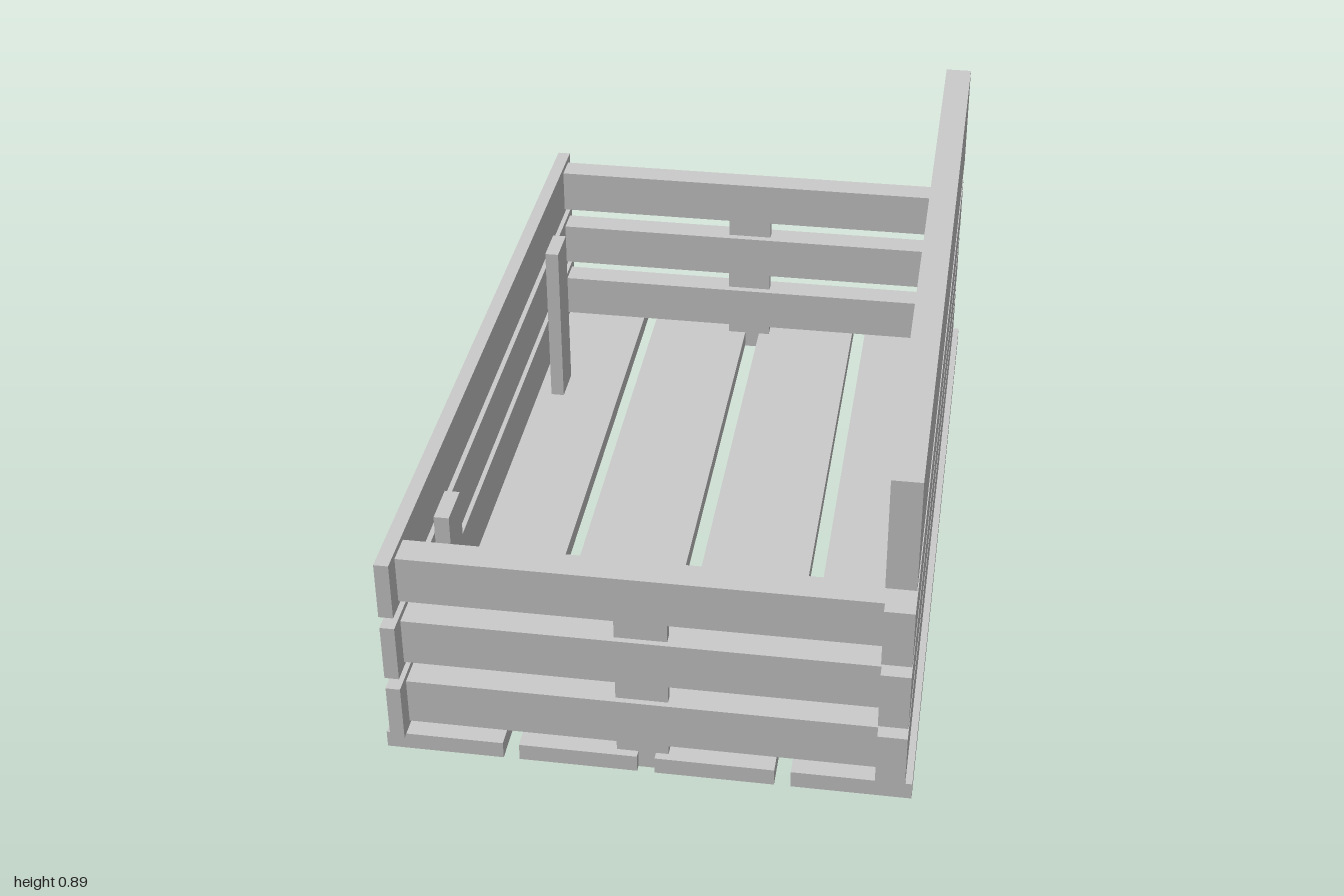
import * as THREE from 'three';

const material = new THREE.MeshStandardMaterial({ color: 0xcccccc, flatShading: true });

export function createModel() {
  const crate = new THREE.Group();
  crate.name = 'slattedCrate';

  // A board given by its extents along each axis
  function board(name, [x0, x1], [y0, y1], [z0, z1]) {
    const mesh = new THREE.Mesh(new THREE.BoxGeometry(x1 - x0, y1 - y0, z1 - z0), material);
    mesh.position.set((x0 + x1) / 2, (y0 + y1) / 2, (z0 + z1) / 2);
    mesh.name = name;
    crate.add(mesh);
  }

  // Four floor boards
  for (const x of [-0.598, -0.291, 0.019, 0.326]) {
    board('floorBoard', [x, x + 0.27], [0.003, 0.045], [-1, 0.958]);
  }

  // Three rows of slats around the crate
  const length = [-0.965, 1];
  for (const y of [0.07, 0.241, 0.412]) {
    const sideHeight = [y, y + 0.141];
    const endHeight = [y + 0.011, y + 0.126];
    board('rightSlat', [-0.576, -0.543], sideHeight, length);
    board('leftSlat', [0.515, 0.581], sideHeight, length);
    board('frontSlat', [-0.543, 0.515], endHeight, [0.883, 0.953]);
    board('backSlat', [-0.543, 0.515], endHeight, [-0.937, -0.869]);
  }

  // Raised board over the left side
  board('raisedBoard', [0.515, 0.581], [0.615, 0.886], length);

  // Upright posts along the two sides
  for (const [z0, z1] of [[-0.585, -0.48], [0.632, 0.735]]) {
    board('rightPost', [-0.515, -0.48], [0.04, 0.495], [z0, z1]);
    board('leftPost', [0.539, 0.566], [0.04, 0.605], [z0, z1]);
  }

  // Central posts holding the end slats
  board('frontPost', [-0.07, 0.048], [0, 0.495], [0.915, 0.939]);
  board('backPost', [-0.07, 0.048], [0, 0.495], [-0.913, -0.889]);

  return crate;
}
